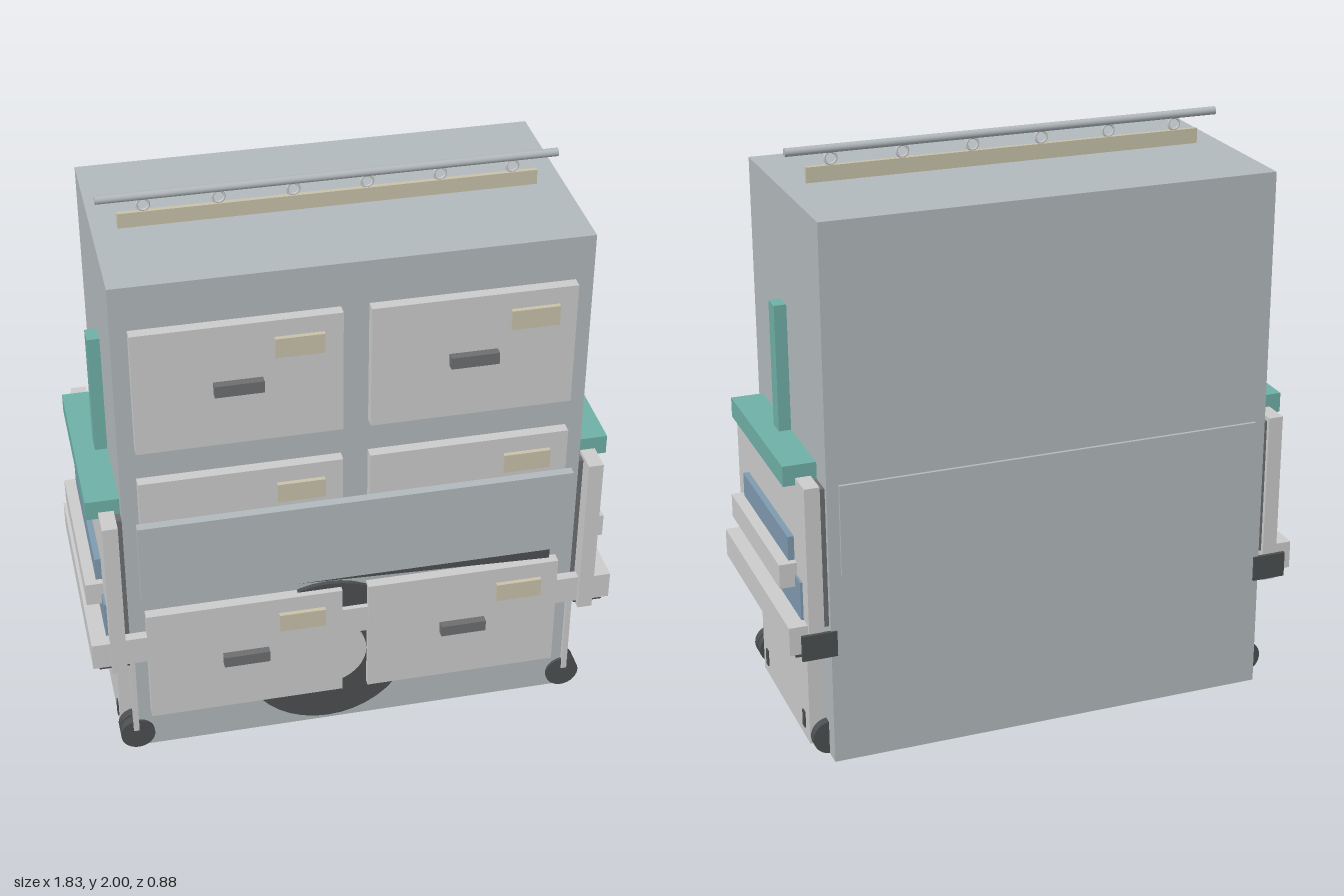
import * as THREE from 'three';

const mat = (color) => new THREE.MeshStandardMaterial({ color });

export function createModel() {
  const root = new THREE.Group();
  root.name = 'cabinet';
  const grey = mat(0xcccccc), body = mat(0xb2b9bc), dark = mat(0x4c4f51);
  const handleGrey = mat(0x6c6f71), green = mat(0x6fb0a6), blue = mat(0x7f9ab0), tan = mat(0xc8c2aa);

  // Box given by its limits on each axis
  const box = (name, m, x0, x1, y0, y1, z0, z1, parent = root) => {
    const mesh = new THREE.Mesh(new THREE.BoxGeometry(x1 - x0, y1 - y0, z1 - z0), m);
    mesh.position.set((x0 + x1) / 2, (y0 + y1) / 2, (z0 + z1) / 2);
    mesh.name = name;
    parent.add(mesh);
    return mesh;
  };
  // Disc whose axis runs along z
  const disc = (name, m, r, x, y, z0, z1, parent = root) => {
    const mesh = new THREE.Mesh(new THREE.CylinderGeometry(r, r, z1 - z0, 40), m);
    mesh.rotation.x = Math.PI / 2;
    mesh.position.set(x, y, (z0 + z1) / 2);
    mesh.name = name;
    parent.add(mesh);
    return mesh;
  };

  box('cabinetBody', body, -0.78, 0.78, 0, 1.88, -0.43, 0.37);

  // Drawers with handle and label plate, three rows of two
  for (const y of [0.16, 0.715, 1.28]) {
    for (const x of [-0.725, 0.043]) {
      const drawer = new THREE.Group();
      drawer.name = 'drawer';
      root.add(drawer);
      box('drawerFront', grey, x, x + 0.677, y, y + 0.445, 0.37, 0.408, drawer);
      box('drawerHandle', handleGrey, x + 0.257, x + 0.417, y + 0.2, y + 0.242, 0.405, 0.436, drawer);
      box('labelPlate', tan, x + 0.455, x + 0.615, y + 0.315, y + 0.385, 0.405, 0.424, drawer);
    }
  }

  // Front and back cover plates, with the tilted slab behind the front one
  box('frontPlate', body, -0.74, 0.74, 0.69, 1.005, 0.41, 0.442);
  box('backPlate', body, -0.74, 0.74, 0.69, 1.005, -0.441, -0.43);
  const slab = box('tiltedSlab', dark, -0.68, 0.68, 0.67, 0.77, 0.412, 0.428);
  slab.rotation.z = -0.041;

  // Large wheel, hub and cross strip behind the lower drawers
  disc('largeWheel', dark, 0.3, -0.095, 0.325, 0.368, 0.386);
  disc('wheelHub', grey, 0.135, -0.095, 0.325, 0.38, 0.398);
  box('crossStrip', grey, -0.8, 0.8, 0.41, 0.515, 0.37, 0.404);

  // Side units, mirrored left and right
  for (const s of [-1, 1]) {
    const side = new THREE.Group();
    side.name = s > 0 ? 'leftSide' : 'rightSide';
    root.add(side);
    const sideBox = (name, m, x0, x1, ...rest) =>
      box(name, m, Math.min(s * x0, s * x1), Math.max(s * x0, s * x1), ...rest, side);
    sideBox('lowerPanel', grey, 0.78, 0.825, 0.002, 0.39, -0.29, 0.29);
    sideBox('sidePanel', grey, 0.8, 0.852, 0.39, 1.005, -0.425, 0.42);
    sideBox('panelSpacer', handleGrey, 0.78, 0.8, 0.5, 0.99, -0.41, 0.36);
    sideBox('lowerBar', grey, 0.85, 0.915, 0.415, 0.515, -0.41, 0.41);
    sideBox('barUnderside', dark, 0.79, 0.893, 0.4, 0.415, -0.4, 0.4);
    sideBox('upperBar', grey, 0.85, 0.912, 0.61, 0.695, -0.305, 0.305);
    sideBox('lowerBlueStrip', blue, 0.85, 0.86, 0.515, 0.65, -0.365, 0.365);
    sideBox('upperBlueStrip', blue, 0.85, 0.873, 0.65, 0.78, -0.28, 0.28);
    sideBox('greenShelf', green, 0.78, 0.893, 0.98, 1.05, -0.325, 0.32);
    sideBox('greenPost', green, 0.78, 0.822, 1.05, 1.49, -0.035, 0.03);
    sideBox('rearBracket', dark, 0.76, 0.88, 0.4, 0.49, -0.437, -0.424);
    for (const z of [-0.23, 0.235]) {
      sideBox('sideFoot', dark, 0.8, 0.83, 0.04, 0.1, z - 0.012, z + 0.012);
    }
    // Casters: two at the front, one at the back
    for (const z of [0.362, 0.322, -0.355]) {
      disc('caster', dark, 0.06, s * 0.775, 0.06, z - 0.014, z + 0.018, side);
    }
    sideBox('casterFork', grey, 0.77, 0.79, 0.08, 0.41, 0.37, 0.384);
  }

  // Top rail on a strip with rings
  box('railBase', tan, -0.695, 0.69, 1.88, 1.932, -0.008, 0.008);
  for (let i = 0; i < 6; i++) {
    const ring = new THREE.Mesh(new THREE.TorusGeometry(0.02, 0.004, 8, 24), grey);
    ring.position.set(-0.61 + i * 0.243, 1.954, 0);
    ring.name = 'railRing';
    root.add(ring);
  }
  const rail = new THREE.Mesh(new THREE.CylinderGeometry(0.014, 0.014, 1.52, 16), body);
  rail.rotation.z = Math.PI / 2;
  rail.position.set(-0.002, 1.986, 0);
  rail.name = 'topRail';
  root.add(rail);

  return root;
}
